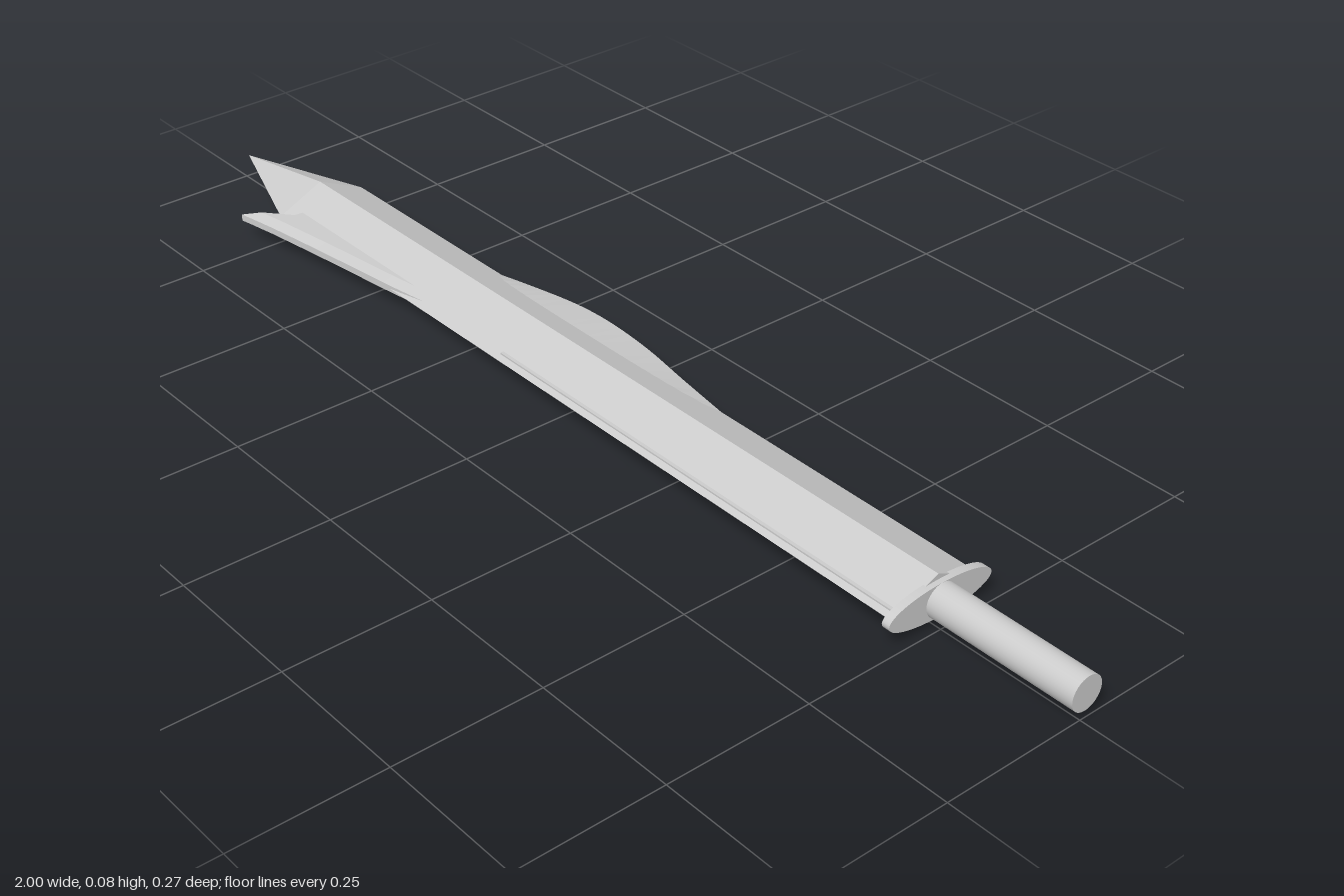
import * as THREE from 'three';

const MID_Y = 0.04, MID_Z = -0.008;
const material = new THREE.MeshStandardMaterial({ color: 0xcccccc });
const flat = new THREE.MeshStandardMaterial({ color: 0xcccccc, flatShading: true });

// Joins cross-sections [x, [[height from mid, z], ...]] listed by rising x into a closed solid
function loft(sections) {
  const rings = sections.map(([x, pts]) => pts.map(([h, z]) => [x, MID_Y + h, z]));
  const pos = [];
  const tri = (a, b, c) => pos.push(...a, ...b, ...c);
  const n = rings[0].length;
  for (let i = 0; i < rings.length - 1; i++) {
    for (let j = 0; j < n; j++) {
      const k = (j + 1) % n, r = rings[i], s = rings[i + 1];
      tri(r[j], r[k], s[j]);
      tri(r[k], s[k], s[j]);
    }
  }
  const first = rings[0], last = rings[rings.length - 1];
  for (let j = 1; j < n - 1; j++) {
    tri(first[0], first[j + 1], first[j]);
    tri(last[0], last[j], last[j + 1]);
  }
  const g = new THREE.BufferGeometry();
  g.setAttribute('position', new THREE.Float32BufferAttribute(pos, 3));
  g.computeVertexNormals();
  return g;
}

export function createModel() {
  const group = new THREE.Group();
  const add = (name, geometry, mat = flat) => {
    const mesh = new THREE.Mesh(geometry, mat);
    mesh.name = name;
    group.add(mesh);
    return mesh;
  };

  // Diamond-section blade running to a point
  const diamond = (h, w) => [[h, MID_Z], [0, MID_Z + w], [-h, MID_Z], [0, MID_Z - w]];
  add('blade', loft([
    [-1, diamond(0, 0)],
    [-0.765, diamond(0.04, 0.086)],
    [0.73, diamond(0.04, 0.086)],
  ]));

  // Curved wedge swelling out of the back edge
  const bulge = new THREE.SplineCurve([
    [-0.37, -0.09], [-0.29, -0.111], [-0.2, -0.13], [-0.12, -0.135],
    [-0.02, -0.128], [0.09, -0.11], [0.22, -0.09],
  ].map(([x, z]) => new THREE.Vector2(x, z)));
  add('backBulge', loft(bulge.getPoints(24).map(({ x, y: z }) =>
    [x, [[0.013, -0.06], [-0.013, -0.06], [0, z]]])));

  // Bevelled spike branching off the front edge
  const spike = (x, zo, zi, h = 0.012) => {
    const zm = Math.max(zi, zo - 0.02);
    return [x, [[h, zi], [h, zm], [0.006, zo], [-0.006, zo], [-h, zm], [-h, zi]]];
  };
  const outer = new THREE.SplineCurve([
    [-0.73, 0.118], [-0.62, 0.102], [-0.53, 0.09], [-0.425, 0.076], [-0.3, 0.055],
  ].map(([x, z]) => new THREE.Vector2(x, z)));
  add('sideSpike', loft([
    spike(-0.805, 0.132, 0.132, 0.006),
    spike(-0.78, 0.127, 0.107),
    spike(-0.735, 0.119, 0.068),
    ...outer.getPoints(16).map(({ x, y }) => spike(x, y, 0.02)),
  ]));

  // Thin strip set along the front edge
  const strip = add('edgeStrip', new THREE.BoxGeometry(0.87, 0.015, 0.03));
  strip.position.set(0.285, MID_Y, 0.053);

  // Oval guard and round grip
  const guard = add('guard', new THREE.CylinderGeometry(1, 1, 0.014, 48), material);
  guard.scale.set(0.029, 1, 0.101);
  guard.rotation.z = -Math.PI / 2;
  guard.position.set(0.732, MID_Y + 0.001, MID_Z);

  const grip = add('grip', new THREE.CylinderGeometry(0.029, 0.029, 0.265, 32), material);
  grip.rotation.z = -Math.PI / 2;
  grip.position.set(0.8675, MID_Y + 0.001, MID_Z);

  return group;
}
